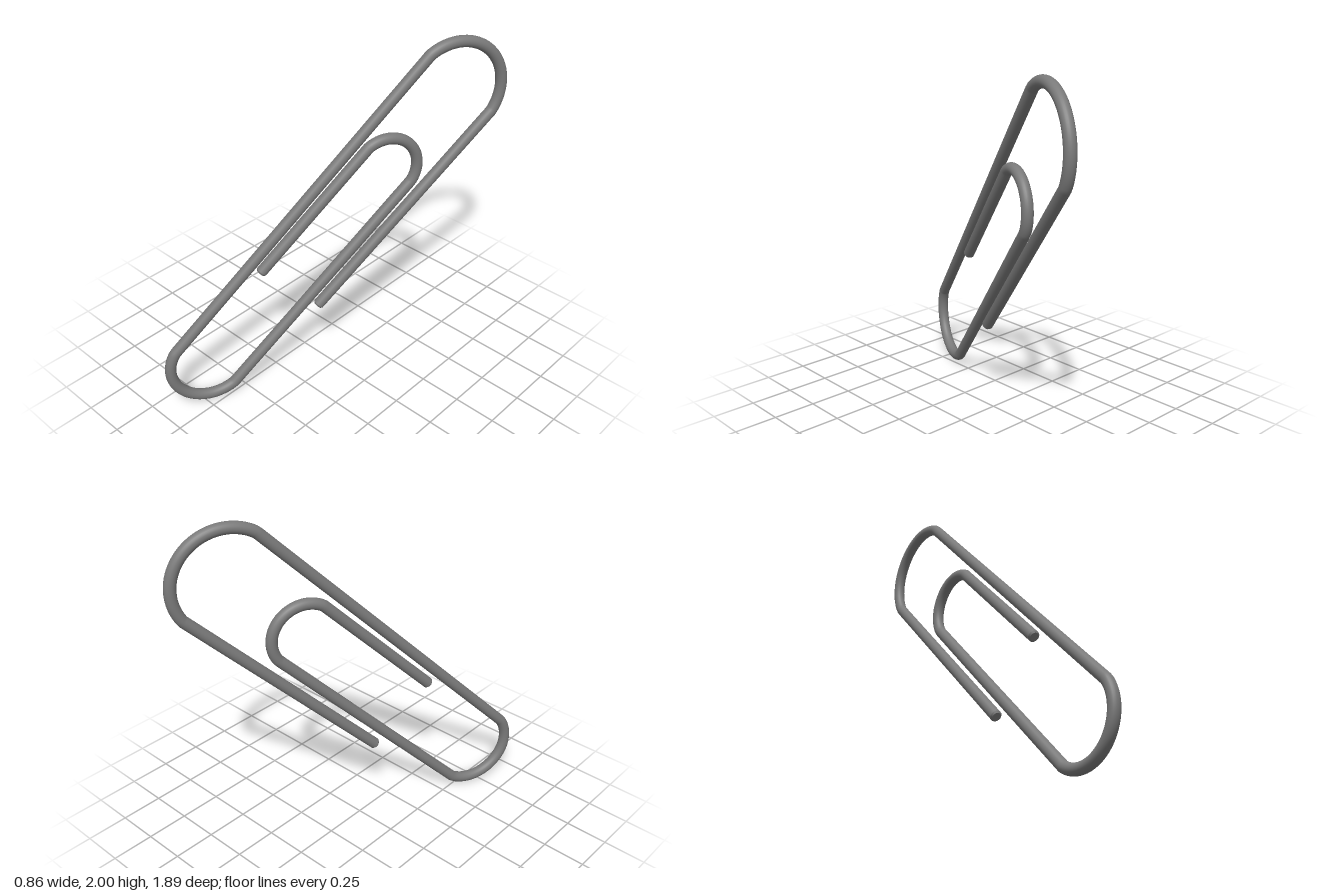
import * as THREE from 'three';

const WIRE = 0.032;
const TIP = 0.01;
const TURN = THREE.MathUtils.degToRad(66.4);

// Circular bend in the clip's own plane
class Bend extends THREE.Curve {
  constructor(x, y, radius, from, to) {
    super();
    Object.assign(this, { x, y, radius, from, to });
  }
  getPoint(t, target = new THREE.Vector3()) {
    const a = THREE.MathUtils.degToRad(THREE.MathUtils.lerp(this.from, this.to, t));
    return target.set(this.x + this.radius * Math.cos(a), this.y + this.radius * Math.sin(a), 0);
  }
}

export function createModel() {
  const material = new THREE.MeshStandardMaterial({ color: 0x7a7a7a });
  const clip = new THREE.Group();
  clip.name = 'paperClip';

  // Path of the wire: outer leg, three bends just short of half circles, inner leg
  const start = new THREE.Vector3(-0.096, 0.478, 0);
  const end = new THREE.Vector3(-0.432, 0.81, 0);
  const bends = [
    new Bend(0.706, 1.677, 0.291, -33, 123),
    new Bend(-0.76, 0.269, 0.237, 147, 303),
    new Bend(0.309, 1.286, 0.192, -33, 123),
  ];
  const path = new THREE.CurvePath();
  path.arcLengthDivisions = 600;
  let from = start;
  for (const bend of bends) {
    path.add(new THREE.LineCurve3(from, bend.getPoint(0)));
    path.add(bend);
    from = bend.getPoint(1);
  }
  path.add(new THREE.LineCurve3(from, end));

  const wire = new THREE.Mesh(new THREE.TubeGeometry(path, 420, WIRE, 24, false), material);
  wire.name = 'wire';
  clip.add(wire);

  // Slightly bevelled cut ends
  const addTip = (name, point, direction) => {
    const tip = new THREE.Mesh(new THREE.CylinderGeometry(WIRE * 0.75, WIRE, TIP, 24), material);
    tip.name = name;
    tip.position.copy(point).addScaledVector(direction, TIP / 2);
    tip.quaternion.setFromUnitVectors(new THREE.Vector3(0, 1, 0), direction);
    clip.add(tip);
  };
  addTip('outerTip', start, path.getTangent(0).negate());
  addTip('innerTip', end, path.getTangent(1));

  // Stand the clip's plane upright at an angle
  clip.rotation.y = TURN;

  const model = new THREE.Group();
  model.name = 'model';
  model.add(clip);
  return model;
}
